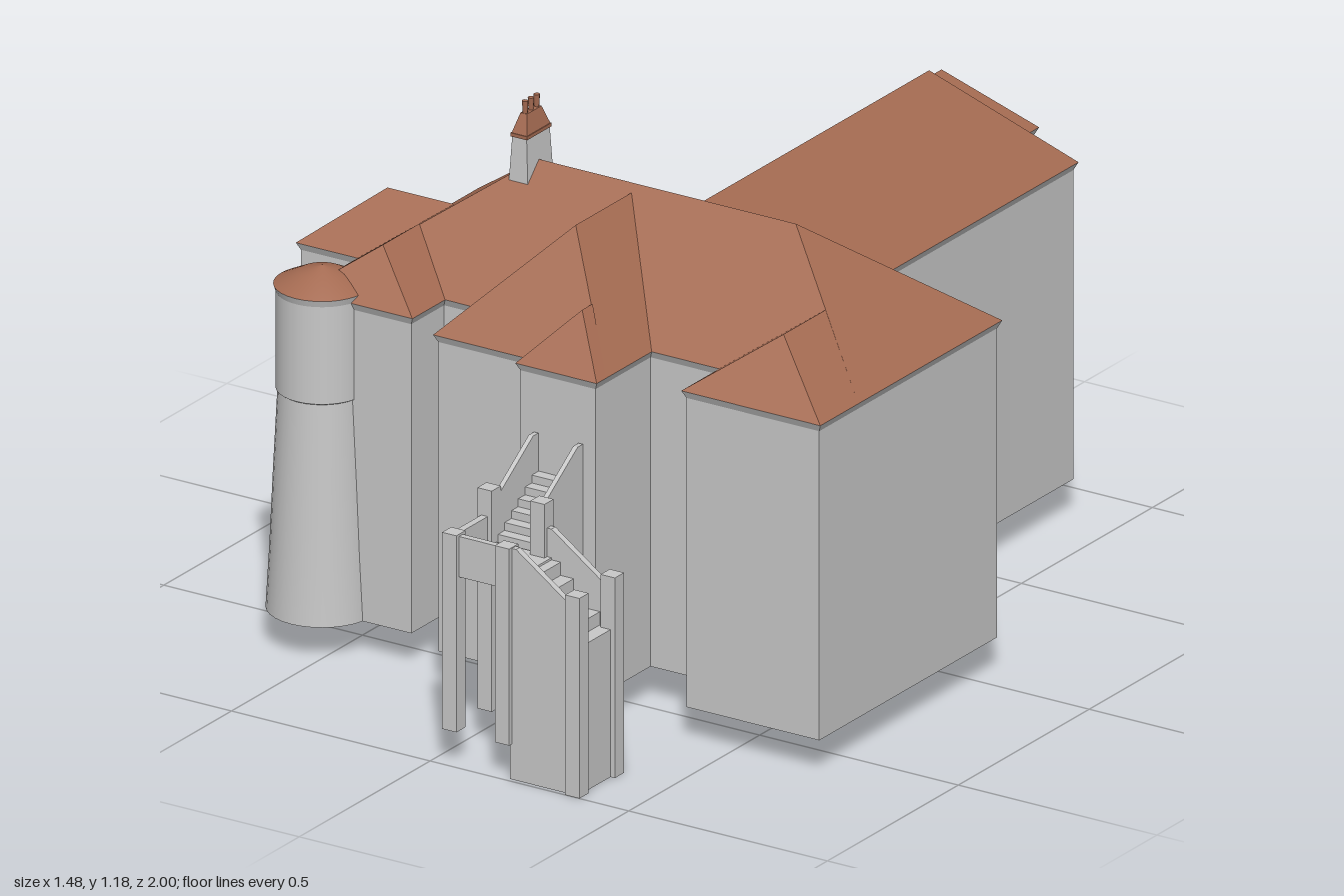
import * as THREE from 'three';

const EAVE = 0.8, BASE = 0.08, CORNICE = 0.783;

export function createModel() {
  const model = new THREE.Group();
  const material = (name, color) => {
    const m = new THREE.MeshStandardMaterial({ color, side: THREE.DoubleSide });
    m.name = name;
    return m;
  };
  const stone = material('pale grey stone', 0xc8c8c8);
  const tile = material('terracotta tile', 0xa56b52);

  const add = (name, geometry, mat, parent = model) => {
    const mesh = new THREE.Mesh(geometry, mat);
    mesh.name = name;
    parent.add(mesh);
    return mesh;
  };
  const group = (name) => {
    const g = new THREE.Group();
    g.name = name;
    model.add(g);
    return g;
  };
  // Flat-shaded geometry from convex polygons
  const polygons = (faces) => {
    const pos = [];
    for (const f of faces) {
      for (let i = 1; i < f.length - 1; i++) pos.push(...f[0], ...f[i], ...f[i + 1]);
    }
    const g = new THREE.BufferGeometry();
    g.setAttribute('position', new THREE.Float32BufferAttribute(pos, 3));
    g.computeVertexNormals();
    return g;
  };
  // Turn a roof face so that it looks upward
  const upward = (f) => {
    const [a, b, c] = f.map((p) => new THREE.Vector3(...p));
    return b.sub(a).cross(c.sub(a)).y < 0 ? f.reverse() : f;
  };
  // Box from its limits
  const box = (name, x0, x1, y0, y1, z0, z1, mat, parent) => {
    const g = new THREE.BoxGeometry(x1 - x0, y1 - y0, z1 - z0);
    g.translate((x0 + x1) / 2, (y0 + y1) / 2, (z0 + z1) / 2);
    return add(name, g, mat, parent);
  };

  // Eave outline of the whole house, as [x, z]
  const outline = [
    [-0.585, -0.07], [-0.105, -0.07], [-0.105, -1], [0.215, -1], [0.215, -0.885], [0.39, -0.885],
    [0.39, -0.07], [0.735, -0.07], [0.735, 0.625], [0.385, 0.625], [0.385, 0.48], [0.215, 0.48],
    [0.215, 0.69], [0.01, 0.69], [0.01, 0.655], [-0.22, 0.655], [-0.22, 0.48], [-0.305, 0.48],
    [-0.305, 0.605], [-0.585, 0.605], [-0.585, 0.39], [-0.74, 0.39], [-0.74, 0.115], [-0.585, 0.115],
  ];
  const n = outline.length;
  const inward = (i) => {
    const [a, b] = [outline[(i + n) % n], outline[(i + 1) % n]];
    return [-Math.sign(b[1] - a[1]), Math.sign(b[0] - a[0])];
  };
  const wallLine = outline.map(([x, z], i) => {
    const [p, q] = [inward(i - 1), inward(i)];
    return [x + 0.008 * (p[0] + q[0]), z + 0.008 * (p[1] + q[1])];
  });
  // Strip of quads between two rings
  const strip = (low, y0, high, y1) => polygons(low.map((a, i) => {
    const j = (i + 1) % n, b = low[j], c = high[j], d = high[i];
    return [[a[0], y0, a[1]], [d[0], y1, d[1]], [c[0], y1, c[1]], [b[0], y0, b[1]]];
  }));
  add('walls', strip(wallLine, BASE, wallLine, CORNICE), stone);
  add('cornice', strip(wallLine, CORNICE, outline, EAVE), stone);

  // Floor of the main house; the rear wing stays open below
  const floorLine = wallLine.filter(([, z]) => z > -0.08);
  const floor = new THREE.ShapeGeometry(new THREE.Shape(floorLine.map(([x, z]) => new THREE.Vector2(x, z))));
  floor.rotateX(Math.PI / 2).translate(0, BASE, 0);
  add('floor', floor, stone);
  box('innerWall', -0.097, 0.382, BASE, CORNICE, -0.062, -0.058, stone);

  // Main hipped roof
  const roofs = group('roofs');
  const A = [-0.585, EAVE, -0.07], B = [0.735, EAVE, -0.07], C = [0.735, EAVE, 0.48], D = [-0.585, EAVE, 0.48];
  const R0 = [-0.25, 1.04, 0.21], R1 = [0.4, 1.04, 0.21];
  add('mainRoof', polygons([[A, B, R1, R0], [C, D, R0, R1], [B, C, R1], [D, A, R0]].map(upward)), tile, roofs);

  // Wing roof: two slopes and a hip end, meeting its parent roof in valleys.
  // s0..s1 is the span, inner/outer the eave ends, r0/r1 the ridge ends.
  const wingRoof = (name, s0, s1, inner, outer, r0, r1, height, alongX = false) => {
    const p = (s, y, t) => (alongX ? [t, y, s] : [s, y, t]);
    const mid = (s0 + s1) / 2;
    const a = p(s0, EAVE, inner), b = p(s0, EAVE, outer), c = p(s1, EAVE, outer), d = p(s1, EAVE, inner);
    const e = p(mid, EAVE + height, r0), f = p(mid, EAVE + height, r1);
    add(name, polygons([[a, b, f, e], [d, c, f, e], [b, c, f]].map(upward)), tile, roofs);
  };
  wingRoof('frontLeftWingRoof', 0.385, 0.735, 0.48, 0.625, 0.339, 0.5, 0.125);
  wingRoof('centreWingRoof', -0.22, 0.215, 0.48, 0.655, 0.227, 0.44, 0.225);
  wingRoof('porchRoof', 0.01, 0.215, 0.655, 0.69, 0.55, 0.59, 0.11);
  wingRoof('frontRightWingRoof', -0.585, -0.305, 0.48, 0.605, 0.366, 0.505, 0.102);
  wingRoof('sideWingRoof', 0.115, 0.39, -0.585, -0.74, -0.432, -0.6, 0.11, true);
  wingRoof('rearWingRoof', -0.105, 0.39, -0.07, -0.885, 0.187, -0.69, 0.22);
  wingRoof('rearEndRoof', -0.105, 0.215, -0.885, -1, -0.76, -0.87, 0.14);

  // Round tower: flared foot, drum, neck and low cone
  const tower = group('tower');
  const lathe = (pts) => new THREE.LatheGeometry(pts.map(([r, y]) => new THREE.Vector2(r, y)), 32);
  add('towerFoot', lathe([[0.119, BASE], [0.111, 0.22], [0.103, 0.4], [0.094, 0.578]]), stone, tower);
  add('towerLedge', lathe([[0.092, 0.575], [0.098, 0.579]]), stone, tower);
  add('towerDrum', lathe([[0.098, 0.579], [0.098, 0.8]]), stone, tower);
  add('towerEave', lathe([[0.098, 0.8], [0.103, 0.815]]), stone, tower);
  add('towerRoof', lathe([[0.103, 0.815], [0.05, 0.842], [0.0001, 0.857]]), tile, tower);
  tower.position.set(-0.552, 0, 0.575);

  // Chimney: tapered stack, cap and three pots
  const chimney = group('chimney');
  const frustum = (name, w0, d0, w1, d1, y0, y1, mat) => {
    const g = new THREE.BoxGeometry(1, y1 - y0, 1);
    const p = g.attributes.position;
    for (let i = 0; i < p.count; i++) {
      const top = p.getY(i) > 0;
      p.setX(i, p.getX(i) * (top ? w1 : w0));
      p.setZ(i, p.getZ(i) * (top ? d1 : d0));
    }
    g.translate(0, (y0 + y1) / 2, 0);
    g.computeVertexNormals();
    add(name, g, mat, chimney);
  };
  frustum('chimneyStack', 0.052, 0.1, 0.036, 0.088, 0.96, 1.1, stone);
  frustum('chimneyCapRim', 0.042, 0.094, 0.042, 0.094, 1.098, 1.106, tile);
  frustum('chimneyCap', 0.038, 0.09, 0.016, 0.056, 1.106, 1.148, tile);
  for (const z of [-0.022, 0, 0.022]) {
    add('chimneyPot', new THREE.CylinderGeometry(0.007, 0.005, 0.035, 8), tile, chimney).position.set(0, 1.158, z);
  }
  chimney.position.set(-0.268, 0, 0.208);

  // Outdoor staircase with a corner landing
  const stairs = group('stairs');
  const post = (x, z, y0, y1) => box('stairPost', x, x + 0.036, y0, y1, z, z + 0.035, stone, stairs);
  post(0.03, 0.965, BASE, 0.527);
  post(0.163, 0.965, BASE, 0.527);
  post(0.03, 0.83, BASE, 0.582);
  post(0.163, 0.83, BASE, 0.582);
  post(0.34, 0.965, 0, 0.455);
  post(0.34, 0.83, 0, 0.455);
  box('landing', 0.045, 0.21, 0.43, 0.46, 0.847, 0.985, stone, stairs);
  box('landingSideParapet', 0.04, 0.056, 0.43, 0.522, 0.86, 0.97, stone, stairs);
  box('landingFrontParapet', 0.06, 0.17, 0.43, 0.522, 0.975, 0.99, stone, stairs);

  // Extruded parapet from a profile
  const parapet = (name, pts, depth) =>
    add(name, new THREE.ExtrudeGeometry(new THREE.Shape(pts.map(([x, y]) => new THREE.Vector2(x, y))),
      { depth, bevelEnabled: false }), stone, stairs);
  for (const z of [0.84, 0.975]) {
    parapet('lowerFlightParapet', [[0.195, 0], [0.345, 0], [0.345, 0.43], [0.21, 0.525], [0.195, 0.525]], 0.015).position.z = z;
  }
  for (const x of [0.054, 0.166]) {
    // profile runs along -z from the landing up to the porch
    const side = parapet('upperFlightParapet', [[-0.835, 0.13], [-0.685, 0.13], [-0.685, 0.652], [-0.705, 0.652], [-0.835, 0.565]], 0.011);
    side.rotation.y = Math.PI / 2;
    side.position.x = x;
  }
  for (let i = 0; i < 5; i++) {
    const x = 0.2 + i * 0.033;
    box('lowerStep', x, x + 0.033, 0, 0.455 - i * 0.03, 0.853, 0.977, stone, stairs);
  }
  for (let i = 0; i < 6; i++) {
    const z = 0.84 - i * 0.026;
    box('upperStep', 0.062, 0.168, 0.13, 0.475 + i * 0.018, z - 0.026, z, stone, stairs);
  }

  return model;
}
